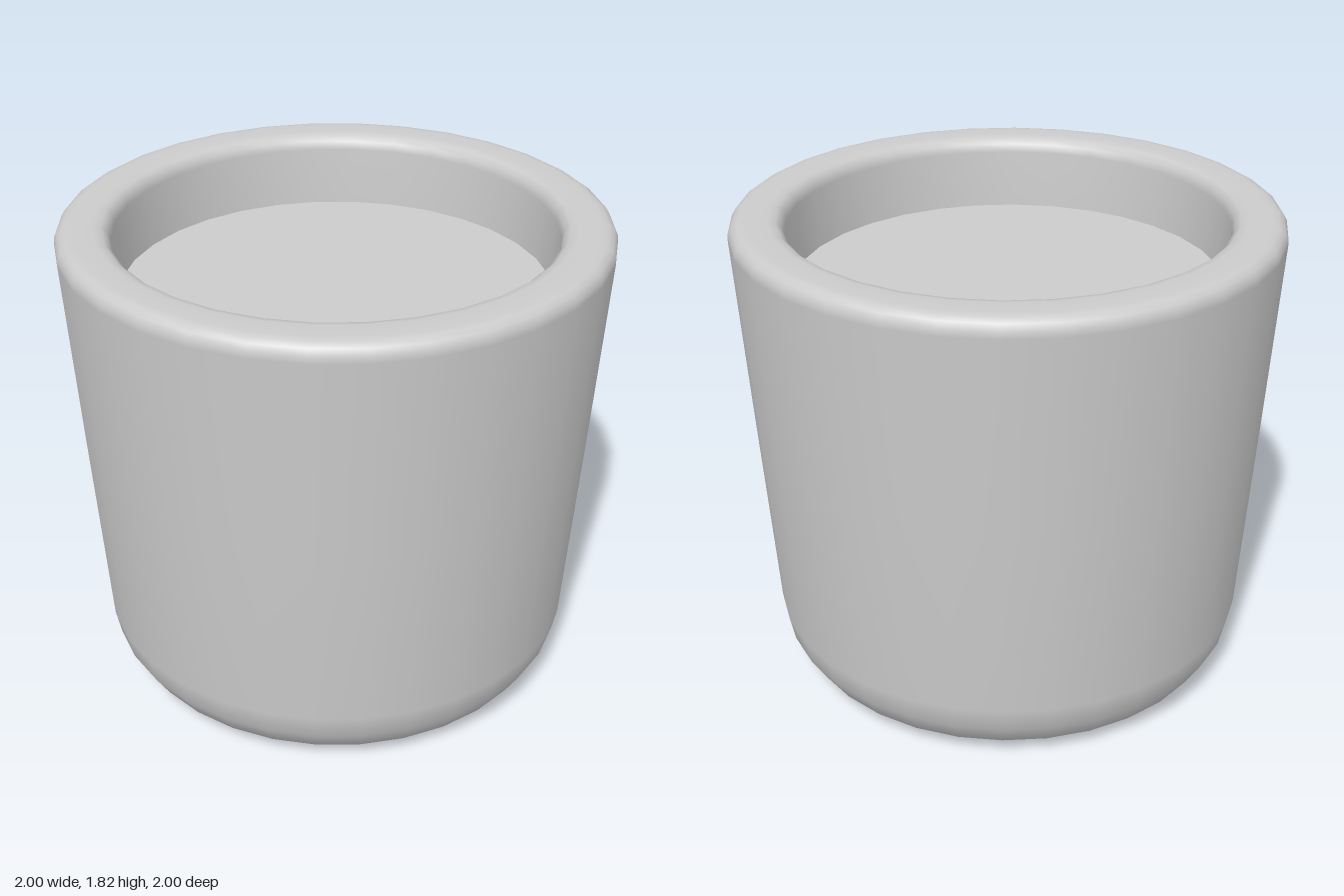
import * as THREE from 'three';

const SIDES = 32;

export function createModel() {
  const group = new THREE.Group();
  group.name = 'cup';
  const material = new THREE.MeshStandardMaterial({ color: 0xcccccc });

  // Tapered shell: rounded base, outer wall, soft rim and inner wall
  const profile = [
    [0, 0], [0.65, 0], [0.74, 0.02], [0.83, 0.075], [0.885, 0.165], [0.904, 0.26],
    [0.952, 1.0], [0.998, 1.75], [0.997, 1.775], [0.985, 1.797], [0.965, 1.81], [0.94, 1.815],
    [0.86, 1.815], [0.83, 1.808], [0.81, 1.79], [0.802, 1.76], [0.79, 1.54],
  ].map(([r, y]) => new THREE.Vector2(r, y));
  const shell = new THREE.Mesh(new THREE.LatheGeometry(profile, SIDES), material);
  shell.name = 'shell';

  // Flat surface closing the recess, with a hard edge against the wall
  const surface = new THREE.Mesh(new THREE.CircleGeometry(0.79, SIDES), material);
  surface.name = 'innerSurface';
  surface.rotation.x = -Math.PI / 2;
  surface.position.y = 1.54;

  group.add(shell, surface);
  return group;
}
